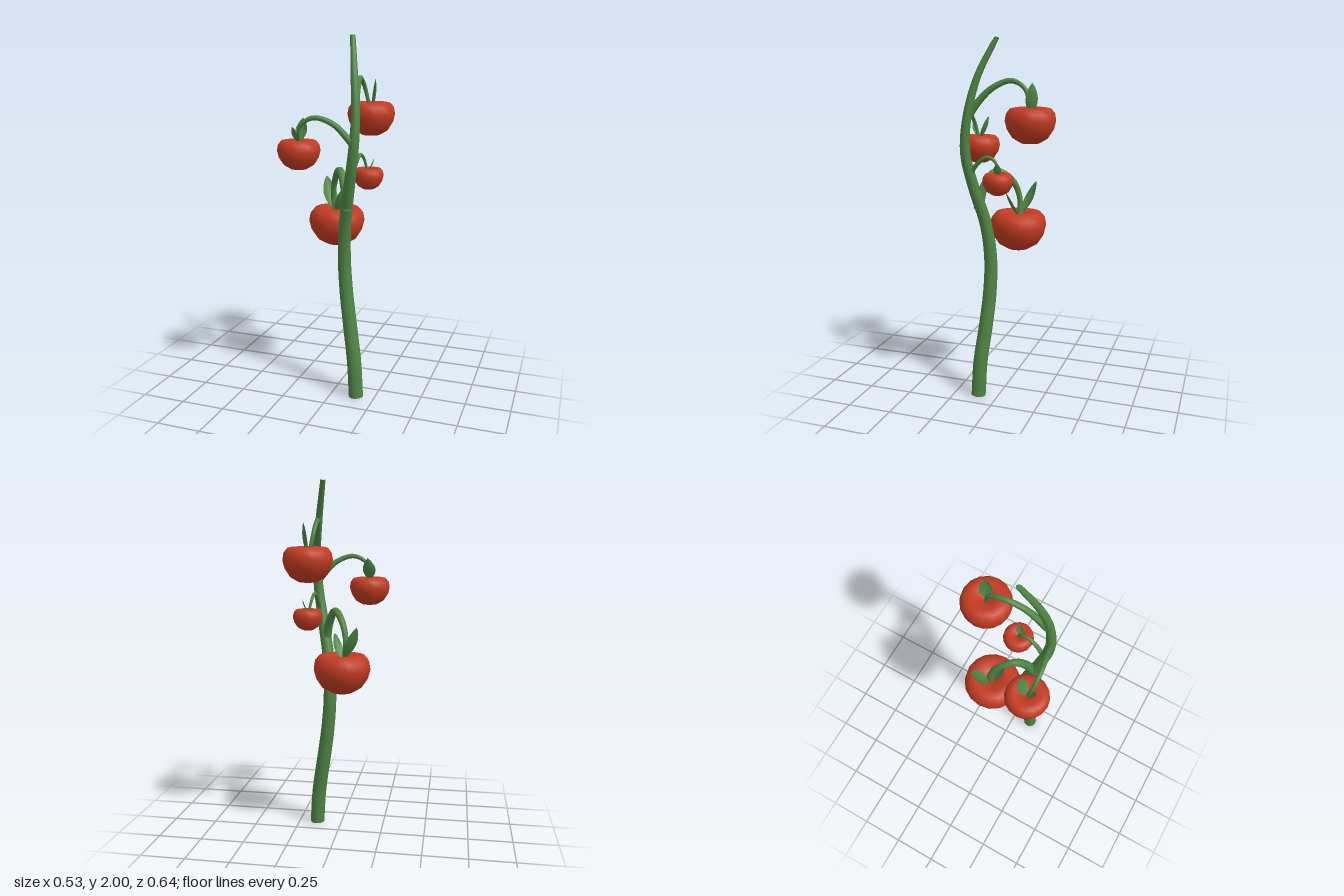
import * as THREE from 'three';

const green = new THREE.MeshStandardMaterial({ color: 0x4f8544 });
const leafGreen = new THREE.MeshStandardMaterial({ color: 0x4f8544, side: THREE.DoubleSide });
const red = new THREE.MeshStandardMaterial({ color: 0xc23b22 });
const vec = (p) => new THREE.Vector3(...p);

function addMesh(parent, name, geometry, material) {
  const mesh = new THREE.Mesh(geometry, material);
  mesh.name = name;
  parent.add(mesh);
  return mesh;
}

// Tube along points whose radius shrinks from r0 to r1
function taperedTube(points, r0, r1, segments, sides, power = 1) {
  const curve = new THREE.CatmullRomCurve3(points.map(vec));
  const geo = new THREE.TubeGeometry(curve, segments, 1, sides);
  const pos = geo.attributes.position;
  const v = new THREE.Vector3();
  for (let i = 0; i <= segments; i++) {
    const t = i / segments;
    const centre = curve.getPointAt(t);
    const r = r0 + (r1 - r0) * Math.pow(t, power);
    for (let j = 0; j <= sides; j++) {
      const k = i * (sides + 1) + j;
      v.fromBufferAttribute(pos, k).sub(centre).multiplyScalar(r).add(centre);
      pos.setXYZ(k, v.x, Math.min(2, Math.max(0, v.y)), v.z);
    }
  }
  return geo;
}

// Squat fruit with a dimple on top
function fruitGeometry(r, h) {
  const profile = [[0, -0.5], [0.36, -0.47], [0.7, -0.33], [0.92, -0.09], [1, 0.14],
    [0.95, 0.34], [0.8, 0.47], [0.56, 0.5], [0.28, 0.43], [0, 0.3]];
  return new THREE.LatheGeometry(profile.map(([x, y]) => new THREE.Vector2(x * r, y * h)), 16);
}

// Pointed, slightly cupped leaf from base to tip
function leafGeometry(base, tip, width) {
  const a = vec(base), b = vec(tip);
  const axis = b.clone().sub(a);
  const side = new THREE.Vector3(0, 1, 0).cross(axis).normalize();
  const normal = axis.clone().cross(side).normalize();
  const rows = 8, cols = 4;
  const geo = new THREE.PlaneGeometry(1, 1, cols, rows);
  const pos = geo.attributes.position;
  for (let i = 0; i < pos.count; i++) {
    const s = pos.getX(i) * 2;
    const t = pos.getY(i) + 0.5;
    const half = width / 2 * Math.pow(Math.sin(Math.PI * Math.pow(t, 0.9)), 0.8) || 0;
    const cup = width * (0.15 * s * s * half / (width / 2) - 0.15 * Math.sin(Math.PI * t));
    const p = a.clone().addScaledVector(axis, t).addScaledVector(side, s * half).addScaledVector(normal, cup);
    pos.setXYZ(i, p.x, p.y, p.z);
  }
  geo.computeVertexNormals();
  return geo;
}

// Each truss: fruit position and size, stalk path and radii, leaves as [base, tip, width]
const trusses = [
  {
    name: 'lowerFruit', at: [-0.033, 0.95, -0.067], r: 0.158, h: 0.22, stalkR: [0.027, 0.012],
    path: [[0.09, 1.08, 0.125], [0.07, 1.2, 0.1], [0.025, 1.285, 0.045], [-0.03, 1.23, -0.035], [-0.055, 1.12, -0.07], [-0.04, 1.01, -0.067]],
    leaves: [[[-0.055, 1.04, -0.08], [-0.125, 1.22, -0.145], 0.085], [[-0.03, 1.03, -0.065], [0.018, 1.17, -0.01], 0.055]],
  },
  {
    name: 'upperFruit', at: [0.13, 1.55, -0.183], r: 0.134, h: 0.19, stalkR: [0.021, 0.009],
    path: [[0.145, 1.6, 0.15], [0.135, 1.66, 0.11], [0.12, 1.74, 0.03], [0.1, 1.778, -0.07], [0.1, 1.735, -0.145], [0.125, 1.6, -0.18]],
    leaves: [[[0.135, 1.61, -0.188], [0.15, 1.77, -0.197], 0.065]],
  },
  {
    name: 'sideFruit', at: [-0.15, 1.385, 0.204], r: 0.115, h: 0.16, stalkR: [0.019, 0.008],
    path: [[0.145, 1.44, 0.18], [0.11, 1.485, 0.19], [0.045, 1.55, 0.205], [-0.055, 1.583, 0.225], [-0.13, 1.54, 0.228], [-0.148, 1.43, 0.204]],
    leaves: [[[-0.15, 1.45, 0.198], [-0.145, 1.575, 0.148], 0.07], [[-0.15, 1.45, 0.21], [-0.165, 1.535, 0.255], 0.045]],
  },
  {
    name: 'smallFruit', at: [0.168, 1.24, -0.017], r: 0.083, h: 0.12, stalkR: [0.014, 0.006],
    path: [[0.125, 1.27, 0.16], [0.135, 1.33, 0.12], [0.142, 1.378, 0.055], [0.147, 1.355, 0.005], [0.165, 1.27, -0.017]],
    leaves: [[[0.17, 1.285, -0.016], [0.198, 1.355, -0.022], 0.04]],
  },
];

export function createModel() {
  const plant = new THREE.Group();
  plant.name = 'fruitVine';

  // Main stem with end caps
  const stemPath = [[0.145, 0, 0.112], [0.131, 0.2, 0.104], [0.1, 0.4, 0.083], [0.071, 0.6, 0.067],
    [0.058, 0.8, 0.066], [0.07, 1, 0.09], [0.108, 1.2, 0.143], [0.143, 1.4, 0.178],
    [0.15, 1.6, 0.16], [0.125, 1.8, 0.11], [0.085, 2, 0.016]];
  addMesh(plant, 'stem', taperedTube(stemPath, 0.041, 0.014, 48, 14, 1.9), green);
  const bottom = addMesh(plant, 'stemBottom', new THREE.CircleGeometry(0.041, 14), green);
  bottom.position.set(...stemPath[0]);
  bottom.rotation.x = Math.PI / 2;
  const top = addMesh(plant, 'stemTop', new THREE.CircleGeometry(0.014, 14), green);
  top.position.set(0.085, 1.997, 0.017);
  top.rotation.x = -Math.PI / 2;

  // Fruits hanging from arched stalks, each with its leaves
  for (const { name, at, r, h, stalkR, path, leaves } of trusses) {
    const truss = new THREE.Group();
    truss.name = name + 'Truss';
    addMesh(truss, name, fruitGeometry(r, h), red).position.set(...at);
    addMesh(truss, 'stalk', taperedTube(path, stalkR[0], stalkR[1], 24, 10), green);
    leaves.forEach((leaf, i) => addMesh(truss, `leaf${i + 1}`, leafGeometry(...leaf), leafGreen));
    plant.add(truss);
  }
  return plant;
}
